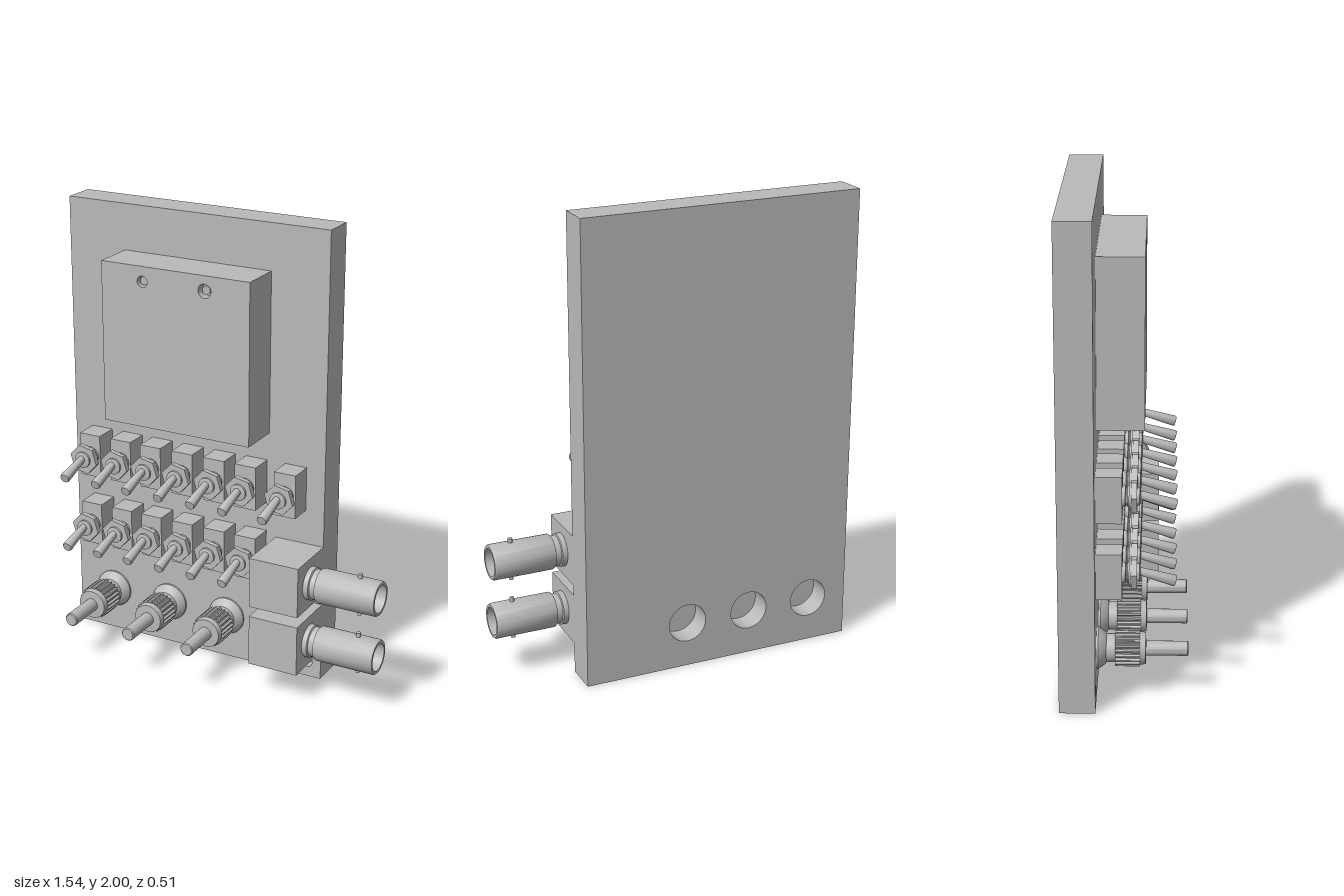
import * as THREE from 'three';
import { toCreasedNormals } from 'three/addons/utils/BufferGeometryUtils.js';

const grey = new THREE.MeshStandardMaterial({ color: 0xbababa });
grey.name = 'plain grey';

export function createModel() {
  const model = new THREE.Group();
  model.name = 'controlPanel';

  const add = (name, geometry, parent = model) => {
    const mesh = new THREE.Mesh(geometry, grey);
    mesh.name = name;
    parent.add(mesh);
    return mesh;
  };
  const group = (name, x, y, z) => {
    const g = new THREE.Group();
    g.name = name;
    g.position.set(x, y, z);
    model.add(g);
    return g;
  };
  // Box given by its limits
  const box = (x0, x1, y0, y1, z0, z1) =>
    new THREE.BoxGeometry(x1 - x0, y1 - y0, z1 - z0)
      .translate((x0 + x1) / 2, (y0 + y1) / 2, (z0 + z1) / 2);
  // Turned part: [radius, height] pairs from base to tip, with sharp edges
  const turned = (profile, segments = 32) => toCreasedNormals(
    new THREE.LatheGeometry(profile.map(([r, h]) => new THREE.Vector2(r, h)), segments), 0.6);
  // Rectangular sheet with round holes [x, y, radius]
  const drilled = (x0, x1, y0, y1, z0, z1, holes) => {
    const shape = new THREE.Shape([[x0, y0], [x1, y0], [x1, y1], [x0, y1]]
      .map(([x, y]) => new THREE.Vector2(x, y)));
    for (const [x, y, r] of holes) {
      shape.holes.push(new THREE.Path().absarc(x, y, r, 0, Math.PI * 2, true));
    }
    const geo = new THREE.ExtrudeGeometry(shape, { depth: z1 - z0, bevelEnabled: false, curveSegments: 16 });
    return toCreasedNormals(geo.translate(0, 0, z0), 0.6);
  };

  // Back plate: rear layer with deep round pockets, front layer with mounting holes
  const postX = [-0.59, -0.3, -0.01];
  const postY = 0.2;
  add('plateRear', drilled(-0.77, 0.45, 0, 2, -0.26, -0.16, postX.map((x) => [x, postY, 0.085])));
  add('plateFront', drilled(-0.77, 0.45, 0, 2, -0.16, -0.115, [[-0.705, 0.07, 0.025], [0.385, 0.07, 0.025]]));

  // Raised housing with two blind holes in its face
  add('housing', box(-0.5, 0.19, 1.1, 1.8, -0.115, 0.03));
  add('housingFace', drilled(-0.5, 0.19, 1.1, 1.8, 0.03, 0.075,
    [[-0.305, 1.735, 0.024], [-0.015, 1.735, 0.03]]));
  add('housingScrew', turned([[0.018, 0], [0.018, 0.03], [0, 0.03]], 20).rotateX(Math.PI / 2)
    .translate(-0.305, 1.735, 0.03));
  add('housingStud', turned([[0.02, 0], [0.02, 0.03], [0, 0.03]], 6).rotateX(Math.PI / 2)
    .translate(-0.015, 1.735, 0.03));

  // Toggle switches
  const bushing = turned([[0.042, 0], [0.042, 0.012], [0.036, 0.014], [0.036, 0.018], [0.042, 0.02],
    [0.042, 0.028], [0.036, 0.03], [0.036, 0.068], [0.022, 0.072], [0, 0.072]], 24).rotateX(Math.PI / 2);
  const washer = new THREE.CylinderGeometry(0.055, 0.055, 0.008, 24).rotateX(Math.PI / 2).translate(0, 0, 0.03);
  const nut = toCreasedNormals(new THREE.CylinderGeometry(0.067, 0.067, 0.024, 6), 0.4)
    .rotateX(Math.PI / 2).rotateZ(0.3).translate(0, 0, 0.046);
  const lever = turned([[0.015, 0], [0.017, 0.04], [0.023, 0.16], [0.02, 0.167], [0, 0.167]], 20)
    .rotateX(Math.PI / 2 + 0.28).translate(0, 0.012, 0.05);
  const toggleX = [-0.635, -0.48, -0.33, -0.175, -0.02, 0.13];
  const toggles = [...toggleX.map((x) => [x, 0.88]), [0.315, 0.88], ...toggleX.map((x) => [x, 0.555])];
  for (const [x, y] of toggles) {
    const g = group('toggleSwitch', x, y, -0.01);
    add('switchBody', box(-0.05, 0.05, -0.097, 0.097, -0.105, 0), g);
    add('bushing', bushing, g);
    add('washer', washer, g);
    add('nut', nut, g);
    add('lever', lever, g);
  }

  // Binding posts: flared foot, knurled collar, rim and shaft
  const foot = turned([[0.085, 0], [0.085, 0.008], [0.066, 0.035], [0.058, 0.04], [0.058, 0.08]])
    .rotateX(Math.PI / 2);
  const gear = new THREE.Shape();
  const teeth = 22;
  for (let i = 0; i < teeth * 4; i++) {
    const r = i % 4 < 2 ? 0.074 : 0.065;
    const a = (i / (teeth * 4)) * Math.PI * 2;
    gear[i ? 'lineTo' : 'moveTo'](r * Math.cos(a), r * Math.sin(a));
  }
  const collar = new THREE.ExtrudeGeometry(gear, { depth: 0.1, bevelEnabled: false }).translate(0, 0, 0.075);
  const shaft = turned([[0.068, 0.175], [0.064, 0.198], [0.03, 0.2], [0.03, 0.366], [0.026, 0.37], [0, 0.37]])
    .rotateX(Math.PI / 2);
  for (const x of postX) {
    const g = group('bindingPost', x, postY, -0.115);
    add('foot', foot, g);
    add('collar', collar, g);
    add('shaft', shaft, g);
  }

  // Coaxial sockets on blocks at the left edge
  const barrel = turned([[0.072, 0], [0.072, 0.022], [0.065, 0.025], [0.065, 0.048], [0.072, 0.05], [0.076, 0.056],
    [0.076, 0.314], [0.072, 0.32], [0.06, 0.32], [0.058, 0.17], [0, 0.17]]).rotateZ(-Math.PI / 2);
  const insulator = turned([[0.03, 0.17], [0.03, 0.27], [0.018, 0.27], [0.018, 0.18], [0, 0.18]], 24)
    .rotateZ(-Math.PI / 2);
  const contact = turned([[0.008, 0.18], [0.008, 0.27], [0, 0.275]], 12).rotateZ(-Math.PI / 2);
  const lug = new THREE.CylinderGeometry(0.01, 0.01, 0.022, 12);
  for (const y of [0.518, 0.248]) {
    const g = group('coaxialSocket', 0.45, y, 0.01);
    add('socketBlock', box(-0.225, 0, -0.112, 0.112, -0.125, 0.12), g);
    add('barrel', barrel, g);
    add('insulator', insulator, g);
    add('contact', contact, g);
    for (const side of [-1, 1]) add('lug', lug, g).position.set(0.228, side * 0.082, 0);
  }

  return model;
}
